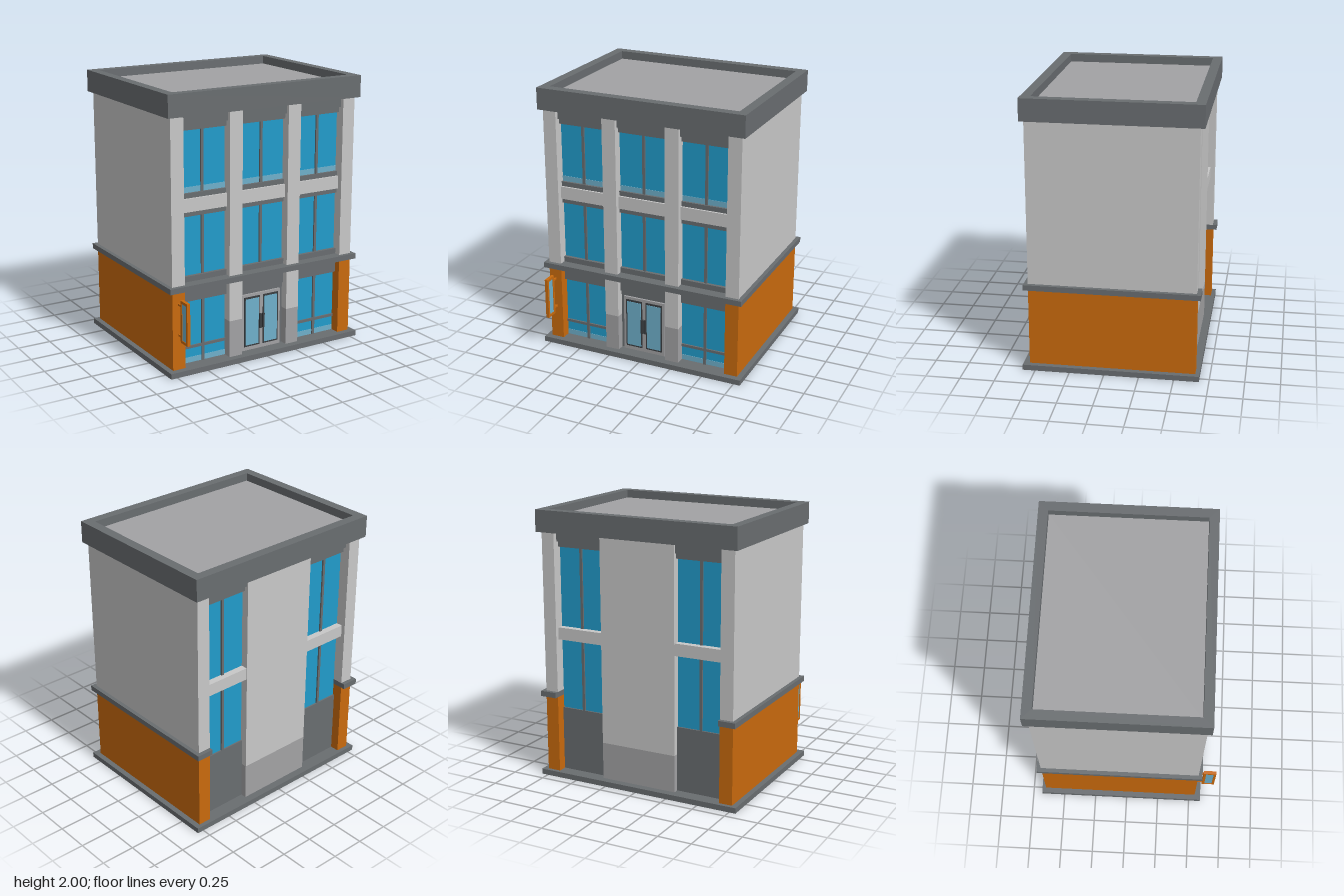
import * as THREE from 'three';

const mat = (name, color) => {
  const m = new THREE.MeshStandardMaterial({ color });
  m.name = name;
  return m;
};

export function createModel() {
  const wall = mat('light wall', 0xc8c8c8);
  const stone = mat('mid grey', 0xa2a2a4);
  const trim = mat('dark grey trim', 0x696d70);
  const orange = mat('orange', 0xc96a0d);
  const blue = mat('blue glass', 0x219ccb);
  const pale = mat('pale glass', 0x6fb0cb);
  const black = mat('charcoal', 0x3a3d40);

  const model = new THREE.Group();
  model.name = 'building';

  // Box given by its limits on each axis
  const box = (name, m, x0, x1, y0, y1, z0, z1, parent = model) => {
    const mesh = new THREE.Mesh(new THREE.BoxGeometry(x1 - x0, y1 - y0, z1 - z0), m);
    mesh.position.set((x0 + x1) / 2, (y0 + y1) / 2, (z0 + z1) / 2);
    mesh.name = name;
    parent.add(mesh);
    return mesh;
  };
  // The same box on both sides of x = 0
  const pair = (name, m, x0, x1, ...rest) => {
    box(name + 'Left', m, x0, x1, ...rest);
    box(name + 'Right', m, -x1, -x0, ...rest);
  };
  // Rectangular frame with a hole, extruded along its local z
  const frame = (name, m, w, h, iw, ih, depth) => {
    const rect = (P, a, b) => new P([[-a, -b], [a, -b], [a, b], [-a, b]].map(([x, y]) => new THREE.Vector2(x / 2, y / 2)));
    const shape = rect(THREE.Shape, w, h);
    shape.holes.push(rect(THREE.Path, iw, ih));
    const g = new THREE.ExtrudeGeometry(shape, { depth, bevelEnabled: false });
    g.translate(0, 0, -depth / 2);
    const mesh = new THREE.Mesh(g, m);
    mesh.name = name;
    model.add(mesh);
    return mesh;
  };

  const GF = 0.47, GB = -0.57; // front and back glass planes

  // Main masses
  box('basePlinth', trim, -0.8, 0.8, 0, 0.04, -0.68, 0.59);
  box('glassCore', blue, -0.66, 0.66, 0.04, 1.84, GB, GF);
  pair('sideWallLower', orange, 0.66, 0.76, 0.04, 0.615, -0.65, 0.545);
  pair('sideWallUpper', wall, 0.66, 0.76, 0.655, 1.84, -0.65, 0.545);
  pair('sideBand', trim, 0.66, 0.79, 0.615, 0.655, -0.68, 0.575);
  box('frontBand', trim, -0.66, 0.66, 0.615, 0.655, GF, 0.575);

  // Roof with raised parapet
  const parapet = frame('parapet', trim, 1.58, 1.255, 1.44, 1.115, 0.16);
  parapet.rotation.x = -Math.PI / 2;
  parapet.position.set(0, 1.92, -0.0545);
  box('corniceSoffit', trim, -0.72, 0.72, 1.84, 1.88, -0.612, 0.503);
  box('roofDeck', stone, -0.72, 0.72, 1.88, 1.94, -0.612, 0.503);

  // Front columns and rear wall, with darker lower parts
  pair('columnLower', stone, 0.19, 0.295, 0.04, 0.315, GF, 0.54);
  pair('columnUpper', wall, 0.19, 0.295, 0.315, 1.84, GF, 0.54);
  box('rearPanelLower', stone, -0.295, 0.295, 0.04, 0.315, -0.625, GB);
  box('rearPanelUpper', wall, -0.295, 0.295, 0.315, 1.84, -0.625, GB);

  // Front bays
  const bays = [[-0.66, -0.295], [-0.19, 0.19], [0.295, 0.66]];
  bays.forEach(([a, b], i) => {
    const c = i === 1 ? 0 : Math.sign(a) * 0.48;
    box('upperHeader', trim, a, b, 1.77, 1.84, GF, 0.515);
    box('upperWindowHead', trim, a, b, 1.73, 1.77, GF, 0.495);
    box('upperSill', trim, a, b, 1.255, 1.29, GF, 0.49);
    box('spandrel', wall, a, b, 1.16, 1.255, GF, 0.505);
    box('middleWindowHead', trim, a, b, 1.125, 1.16, GF, 0.49);
    box('middleSill', trim, a, b, 0.655, 0.695, GF, 0.495);
    box('upperMullion', trim, c - 0.01, c + 0.01, 1.29, 1.73, GF, 0.482);
    box('middleMullion', trim, c - 0.01, c + 0.01, 0.695, 1.125, GF, 0.482);
    box('upperGlassStrip', pale, a, b, 1.29, 1.33, GF, GF + 0.003);
    box('groundHeader', trim, a, b, 0.51, 0.615, GF, 0.495);
    if (i === 1) return;
    box('groundMullion', trim, c - 0.01, c + 0.01, 0.04, 0.51, GF, 0.482);
    box('groundTransom', trim, a, b, 0.15, 0.17, GF, 0.482);
    box('groundGlassStrip', pale, a, b, 0.04, 0.08, GF, GF + 0.003);
  });

  // Entrance
  box('doorSurround', trim, -0.19, 0.19, 0.04, 0.51, GF, 0.48);
  box('doorFrame', stone, -0.165, 0.165, 0.04, 0.47, 0.48, 0.495);
  pair('doorLeaf', black, 0.015, 0.145, 0.07, 0.45, 0.495, 0.5);
  pair('doorGlass', pale, 0.024, 0.135, 0.082, 0.436, 0.5, 0.503);
  pair('doorHandle', black, 0.004, 0.02, 0.2, 0.31, 0.5, 0.515);

  // Rear window bays
  pair('rearLowerPanel', trim, 0.295, 0.66, 0.04, 0.52, GB - 0.012, GB);
  pair('rearSpandrel', wall, 0.295, 0.66, 1.05, 1.14, -0.62, GB);
  pair('rearMullion', trim, 0.47, 0.49, 0.52, 1.73, GB - 0.012, GB);
  pair('rearWindowHead', trim, 0.295, 0.66, 1.73, 1.77, GB - 0.025, GB);
  pair('rearHeader', trim, 0.295, 0.66, 1.77, 1.84, GB - 0.045, GB);

  // Projecting sign on two brackets
  const sign = frame('signFrame', orange, 0.095, 0.31, 0.058, 0.27, 0.024);
  sign.rotation.y = Math.PI / 2;
  sign.position.set(-0.71, 0.415, 0.6365);
  box('signPanel', pale, -0.718, -0.702, 0.28, 0.55, 0.6075, 0.6655);
  for (const y of [0.3, 0.525]) box('signBracket', orange, -0.717, -0.703, y - 0.007, y + 0.007, 0.545, 0.59);

  return model;
}
